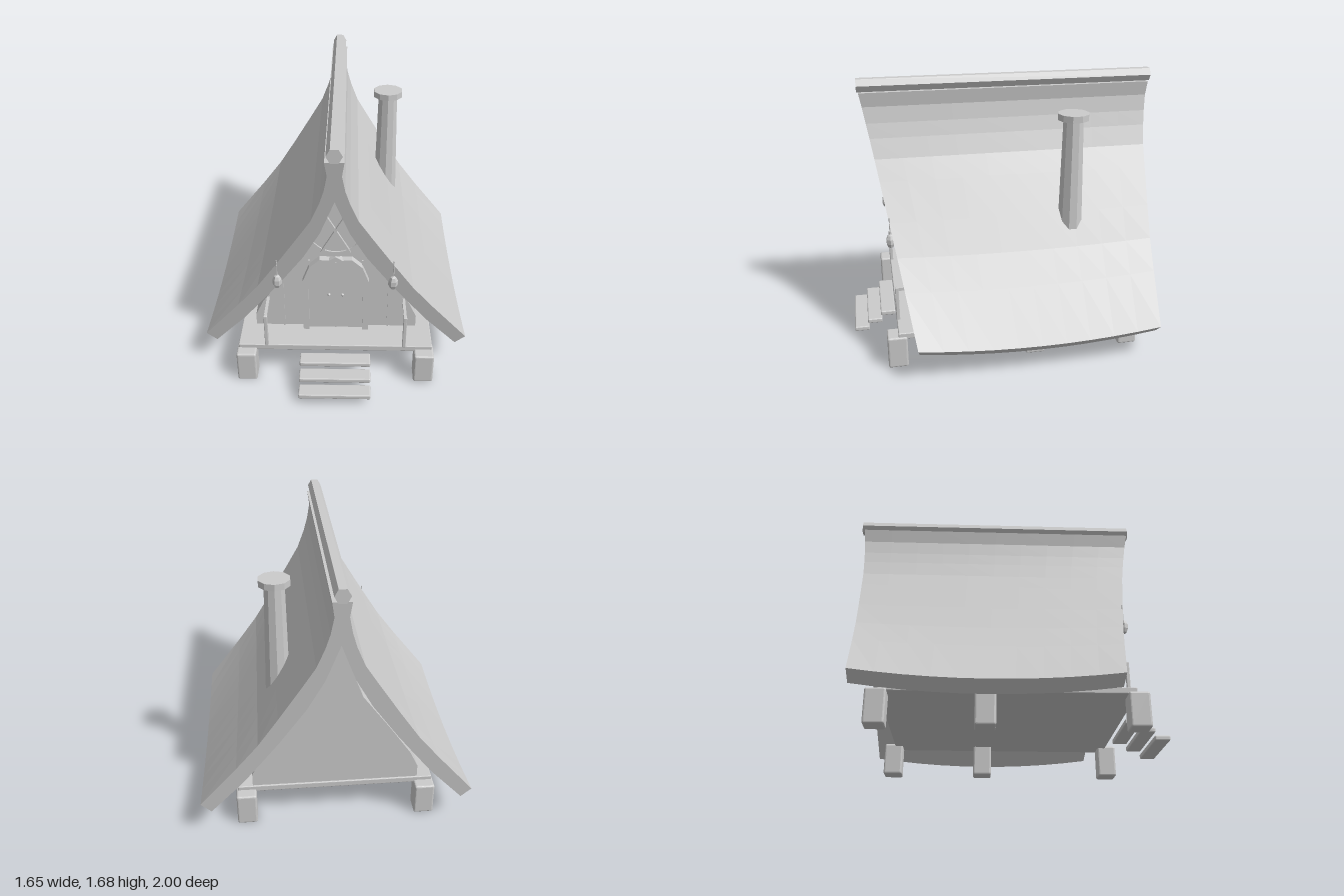
import * as THREE from 'three';
import { RoundedBoxGeometry } from 'three/addons/geometries/RoundedBoxGeometry.js';

const grey = new THREE.MeshStandardMaterial({ color: 0xcccccc, flatShading: true });
const mirror = (half) => [...half, ...half.filter((p) => p[0] > 0).map(([x, y]) => [-x, y]).reverse()];
const toVectors = (points) => points.map(([x, y]) => new THREE.Vector2(x, y));

// Curved roof: the profile is swept along z, raked at both ends and sagging at the eaves.
function roofGeometry() {
  const outer = [[0.827, 0.235], [0.6, 0.507], [0.467, 0.676], [0.347, 0.858], [0.21, 1.075],
    [0.133, 1.2], [0.085, 1.32], [0.058, 1.41], [0.04, 1.51], [0.053, 1.6]];
  const inner = [[0.765, 0.175], [0.565, 0.395], [0.45, 0.545], [0.342, 0.69], [0.185, 0.92],
    [0.085, 1.107], [0.05, 1.2], [0, 1.337]];
  const flip = ([x, y]) => [-x, y];
  const loop = [...outer, ...outer.map(flip).reverse(), ...inner.map(flip), ...inner.slice(0, -1).reverse()];
  const n = loop.length, stations = 10;
  const positions = [], index = [];
  for (let s = 0; s <= stations; s++) {
    const t = s / stations;
    for (const [x, y] of loop) {
      const back = -0.87 - 0.0806 * (y - 0.235);
      const front = 0.628 + 0.18 * (y - 0.235);
      const sag = 0.05 * 4 * t * (1 - t) * Math.max(0, 1 - (y - 0.2) / 0.8);
      positions.push(x, y - sag, back + (front - back) * t);
    }
  }
  for (let s = 0; s < stations; s++) {
    for (let i = 0; i < n; i++) {
      const a = s * n + i, b = s * n + (i + 1) % n;
      index.push(a, b, b + n, a, b + n, a + n);
    }
  }
  // End caps
  const last = stations * n;
  for (const [a, b, c] of THREE.ShapeUtils.triangulateShape(toVectors(loop), [])) {
    index.push(last + a, last + b, last + c, c, b, a);
  }
  const geometry = new THREE.BufferGeometry();
  geometry.setAttribute('position', new THREE.Float32BufferAttribute(positions, 3));
  geometry.setIndex(index);
  const flat = geometry.toNonIndexed();
  flat.computeVertexNormals();
  return flat;
}

export function createModel() {
  const model = new THREE.Group();

  function add(name, geometry, x = 0, y = 0, z = 0) {
    const mesh = new THREE.Mesh(geometry, grey);
    mesh.name = name;
    mesh.position.set(x, y, z);
    model.add(mesh);
    return mesh;
  }
  // Boxes are given by their limits on each axis.
  function box(name, [x0, x1], [y0, y1], [z0, z1], radius = 0) {
    const size = [x1 - x0, y1 - y0, z1 - z0];
    const geometry = radius ? new RoundedBoxGeometry(...size, 2, radius) : new THREE.BoxGeometry(...size);
    return add(name, geometry, (x0 + x1) / 2, (y0 + y1) / 2, (z0 + z1) / 2);
  }
  function slab(name, shape, z0, z1) {
    const geometry = new THREE.ExtrudeGeometry(shape, { depth: z1 - z0, bevelEnabled: false, curveSegments: 24 });
    return add(name, geometry, 0, 0, z0);
  }

  // Roof and ridge beam
  add('roof', roofGeometry());
  const beam = new THREE.CylinderGeometry(0.045, 0.045, 1.885, 6);
  beam.rotateY(Math.PI / 2).rotateX(Math.PI / 2).scale(1, 0.04 / 0.039, 1);
  add('ridgeBeam', beam, 0, 1.64, -0.0575);

  // Chimney
  add('chimney', new THREE.CylinderGeometry(0.064, 0.081, 0.78, 10), 0.333, 1.07, -0.405);
  add('chimneyCap', new THREE.CylinderGeometry(0.098, 0.098, 0.04, 10), 0.333, 1.47, -0.405);

  // House body
  const body = [[0.515, 0.23], [0.515, 0.315], [0.465, 0.42], [0.335, 0.61], [0.16, 0.85],
    [0.085, 1.05], [0.035, 1.2], [0, 1.32]];
  slab('houseBody', new THREE.Shape(toVectors(mirror(body))), -0.72, 0.53);

  // Floor, foundation posts and steps
  box('floor', [-0.608, 0.608], [0.195, 0.235], [-0.73, 0.73], 0.006);
  for (const side of [-1, 1]) {
    for (const z of [0.738, -0.127, -0.738]) {
      add('foundationPost', new RoundedBoxGeometry(0.123, 0.208, 0.122, 2, 0.012), side * 0.555, 0.106, z);
    }
  }
  for (let i = 0; i < 3; i++) {
    const y = 0.045 + i * 0.05, z = 0.905 - i * 0.087;
    box('step', [-0.22, 0.22], [y, y + 0.031], [z, z + 0.095], 0.008);
  }

  // Arched double door with frame, centre strip and knobs
  const frameOuter = [[0.207, 0.235], [0.207, 0.61], [0.165, 0.72], [0.1, 0.778], [0.04, 0.775], [0, 0.8]];
  const frameInner = [[0.17, 0.235], [0.17, 0.6], [0.135, 0.695], [0.085, 0.745], [0, 0.762]];
  const frame = new THREE.Shape(toVectors([
    ...frameOuter, ...frameOuter.slice(0, -1).map(([x, y]) => [-x, y]).reverse(),
    ...frameInner.map(([x, y]) => [-x, y]), ...frameInner.slice(0, -1).reverse(),
  ]));
  slab('doorFrame', frame, 0.52, 0.575);
  slab('door', new THREE.Shape(toVectors(mirror(frameInner))), 0.52, 0.55);
  box('doorCentreStrip', [-0.004, 0.004], [0.24, 0.745], [0.54, 0.558]);
  for (const side of [-1, 1]) {
    add('doorKnob', new THREE.SphereGeometry(0.01, 8, 6), side * 0.042, 0.505, 0.562);
  }

  // Round window with rim and crossed bars
  const rim = new THREE.Shape().absarc(0, 0.993, 0.197, 0, Math.PI * 2);
  rim.holes.push(new THREE.Path().absarc(0, 0.993, 0.165, 0, Math.PI * 2, true));
  slab('windowRim', rim, 0.52, 0.56);
  slab('windowPane', new THREE.Shape().absarc(0, 0.993, 0.18, 0, Math.PI * 2), 0.52, 0.55);
  for (const side of [-1, 1]) {
    const bar = add('windowBar', new THREE.BoxGeometry(0.014, 0.35, 0.02), 0, 0.98, 0.56);
    bar.rotation.z = side * 0.52;
  }

  // Wall battens, porch railings and hanging lanterns
  for (const side of [-1, 1]) {
    add('wallBatten', new THREE.BoxGeometry(0.01, 0.52, 0.012), side * 0.165, 0.49, 0.534);
    add('wallBatten', new THREE.BoxGeometry(0.01, 0.465, 0.012), side * 0.333, 0.4675, 0.534);
    const rx = side * 0.43;
    box('railPost', [rx - 0.011, rx + 0.011], [0.225, 0.46], [0.709, 0.731], 0.004);
    box('handrail', [rx - 0.009, rx + 0.009], [0.438, 0.458], [0.52, 0.72]);
    const lantern = add('lantern', new THREE.SphereGeometry(1, 6, 5), side * 0.343, 0.737, 0.738);
    lantern.scale.set(0.029, 0.048, 0.029);
    add('lanternHanger', new THREE.CylinderGeometry(0.004, 0.004, 0.12, 6), side * 0.343, 0.83, 0.738);
  }

  return model;
}
